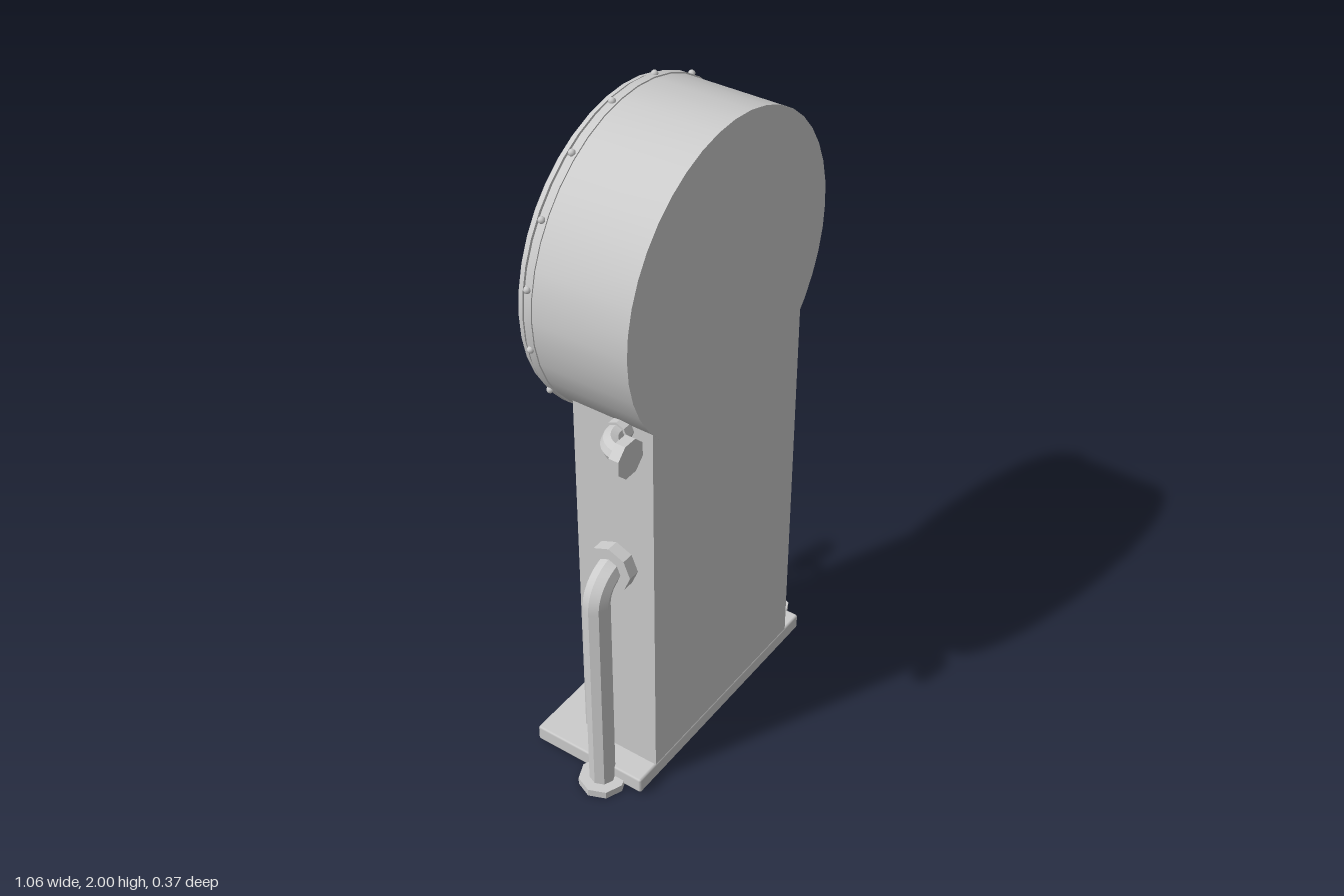
import * as THREE from 'three';
import { RoundedBoxGeometry } from 'three/addons/geometries/RoundedBoxGeometry.js';
import { toCreasedNormals } from 'three/addons/utils/BufferGeometryUtils.js';

const grey = new THREE.MeshStandardMaterial({ color: 0xcccccc });
const faceted = new THREE.MeshStandardMaterial({ color: 0xcccccc, flatShading: true });
const CX = -0.02; // centre line of the case

function add(parent, name, geometry, position = [0, 0, 0], rotation = [0, 0, 0], material = grey) {
  const mesh = new THREE.Mesh(geometry, material);
  mesh.name = name;
  mesh.position.set(...position);
  mesh.rotation.set(...rotation);
  parent.add(mesh);
  return mesh;
}

function group(parent, name, position = [0, 0, 0], rotationY = 0) {
  const g = new THREE.Group();
  g.name = name;
  g.position.set(...position);
  g.rotation.y = rotationY;
  parent.add(g);
  return g;
}

const box = (w, h, d) => new THREE.BoxGeometry(w, h, d);
const cyl = (r, h, sides = 8) => new THREE.CylinderGeometry(r, r, h, sides);

// Pipe through three points with a rounded corner at the middle one
function elbowPipe(a, corner, b, bend, radius) {
  const [A, C, B] = [a, corner, b].map((p) => new THREE.Vector3(...p));
  const p = C.clone().add(A.clone().sub(C).setLength(bend));
  const q = C.clone().add(B.clone().sub(C).setLength(bend));
  const path = new THREE.CurvePath();
  path.add(new THREE.LineCurve3(A, p));
  path.add(new THREE.CubicBezierCurve3(p, p.clone().lerp(C, 0.55), q.clone().lerp(C, 0.55), q));
  path.add(new THREE.LineCurve3(q, B));
  return toCreasedNormals(new THREE.TubeGeometry(path, 48, radius, 8), 0.6);
}

// Side pipe from the wall down to a floor flange
function sidePipe(root, name, x, wallX, y) {
  const z = 0.063, s = Math.sign(x);
  const g = group(root, name);
  add(g, 'pipe', elbowPipe([wallX, y, z], [x, y, z], [x, 0.01, z], 0.085, 0.038));
  add(g, 'wallFlange', cyl(0.07, 0.036), [wallX + s * 0.017, y, z], [0, 0, Math.PI / 2], faceted);
  add(g, 'floorFlange', cyl(0.07, 0.024), [x, 0.012, z], [0, 0, 0], faceted);
  return g;
}

function buildGauge(root) {
  // Local +z looks out of the dial
  const g = group(root, 'gaugeHead', [CX, 1.55, 0], Math.PI);
  const drum = [[0, -0.187], [0.449, -0.187], [0.449, 0.1], [0.453, 0.1], [0.453, 0.122],
    [0.44, 0.123], [0.44, 0.13], [0.447, 0.132], [0.443, 0.147], [0.43, 0.157],
    [0.415, 0.158], [0.405, 0.152], [0.398, 0.125], [0, 0.125]];
  const profile = drum.map(([r, y]) => new THREE.Vector2(r, y));
  add(g, 'drumAndBezel', toCreasedNormals(new THREE.LatheGeometry(profile, 40), 0.5), [0, 0, 0], [Math.PI / 2, 0, 0]);

  // Rivets around the flange
  for (let i = 0; i < 16; i++) {
    const a = ((i + 0.5) / 16) * Math.PI * 2;
    add(g, 'flangeRivet', new THREE.SphereGeometry(0.01, 8, 6), [0.453 * Math.sin(a), 0.453 * Math.cos(a), 0.114]);
  }

  // Scale marks, open at the bottom
  for (let i = 0; i <= 40; i++) {
    const a = THREE.MathUtils.degToRad(-135 + i * 6.75);
    const major = i % 5 === 0;
    const length = major ? 0.07 : 0.036;
    const r = 0.375 - length / 2;
    add(g, major ? 'majorMark' : 'minorMark', box(major ? 0.009 : 0.006, length, 0.008),
      [r * Math.sin(a), r * Math.cos(a), 0.127], [0, 0, -a]);
  }

  // Tapered needle with a short tail, and its hub
  const shape = new THREE.Shape();
  [[-0.006, -0.08], [0.006, -0.08], [0.014, 0], [0.003, 0.33], [-0.003, 0.33], [-0.014, 0]]
    .forEach(([x, y], i) => (i ? shape.lineTo(x, y) : shape.moveTo(x, y)));
  add(g, 'needle', new THREE.ExtrudeGeometry(shape, { depth: 0.008, bevelEnabled: false }), [0, 0, 0.134], [0, 0, -0.13]);
  const hub = add(g, 'needleHub', new THREE.SphereGeometry(0.034, 16, 10), [0, 0, 0.13]);
  hub.scale.z = 0.8;
}

function buildCase(root) {
  add(root, 'basePlate', new RoundedBoxGeometry(0.846, 0.052, 0.373, 1, 0.007), [CX, 0.034, 0]);
  add(root, 'column', box(0.692, 1.21, 0.241), [CX, 0.665, 0.0655]);

  // Riveted frame around the recessed panel
  const g = group(root, 'panelFrame', [CX, 0, 0]);
  for (const s of [-1, 1]) {
    add(g, 'sideStrip', box(0.06, 1.19, 0.014), [s * 0.314, 0.67, -0.061]);
    for (let i = 0; i < 5; i++) {
      add(g, 'frameRivet', new THREE.SphereGeometry(0.01, 8, 6), [s * 0.314, 0.15 + i * 0.263, -0.068]);
    }
  }
  add(g, 'bottomStrip', box(0.568, 0.06, 0.014), [0, 0.105, -0.061]);
  add(g, 'namePlate', box(0.29, 0.085, 0.024), [0, 1.0, -0.066]);
}

function buildSightGlass(root) {
  const g = group(root, 'sightGlass', [CX, 0, -0.132]);
  add(g, 'glassTube', cyl(0.036, 0.4, 12), [0, 0.692, 0]);
  for (const y of [0.487, 0.897]) {
    add(g, 'tubeCap', cyl(0.055, 0.032, 12), [0, y, 0]);
    add(g, 'capBracket', box(0.045, 0.026, 0.09), [0, y, 0.045]);
  }
}

function buildValve(g) {
  const x = 0.416, y = 0.352;
  add(g, 'valveBody', cyl(0.056, 0.1), [x, y, 0.063], [0, 0, 0], faceted);
  add(g, 'valveStem', cyl(0.014, 0.12), [x, y, -0.04], [Math.PI / 2, 0, 0]);
  const wheel = group(g, 'handWheel', [x, y, -0.09]);
  add(wheel, 'rim', new THREE.TorusGeometry(0.101, 0.01, 6, 14));
  add(wheel, 'wheelHub', cyl(0.022, 0.032), [0, 0, 0], [Math.PI / 2, 0, 0]);
  for (let i = 0; i < 5; i++) {
    const a = (i / 5) * Math.PI * 2;
    add(wheel, 'spoke', cyl(0.007, 0.1, 6), [0.05 * Math.sin(a), 0.05 * Math.cos(a), 0], [0, 0, -a]);
  }
}

export function createModel() {
  const root = new THREE.Group();
  root.name = 'dialColumn';
  buildCase(root);
  buildGauge(root);
  buildSightGlass(root);

  sidePipe(root, 'rightPipe', -0.46, -0.367, 0.78);
  buildValve(sidePipe(root, 'leftPipe', 0.416, 0.325, 0.53));

  // Short capped outlet under the gauge
  const outlet = group(root, 'outlet');
  add(outlet, 'outletPipe', elbowPipe([-0.35, 1.25, 0.095], [-0.46, 1.25, 0.095], [-0.46, 1.25, 0.17], 0.06, 0.027));
  add(outlet, 'outletCollar', cyl(0.034, 0.03), [-0.382, 1.25, 0.095], [0, 0, Math.PI / 2], faceted);
  add(outlet, 'outletCap', cyl(0.055, 0.03), [-0.46, 1.25, 0.171], [Math.PI / 2, Math.PI / 8, 0], faceted);
  return root;
}
